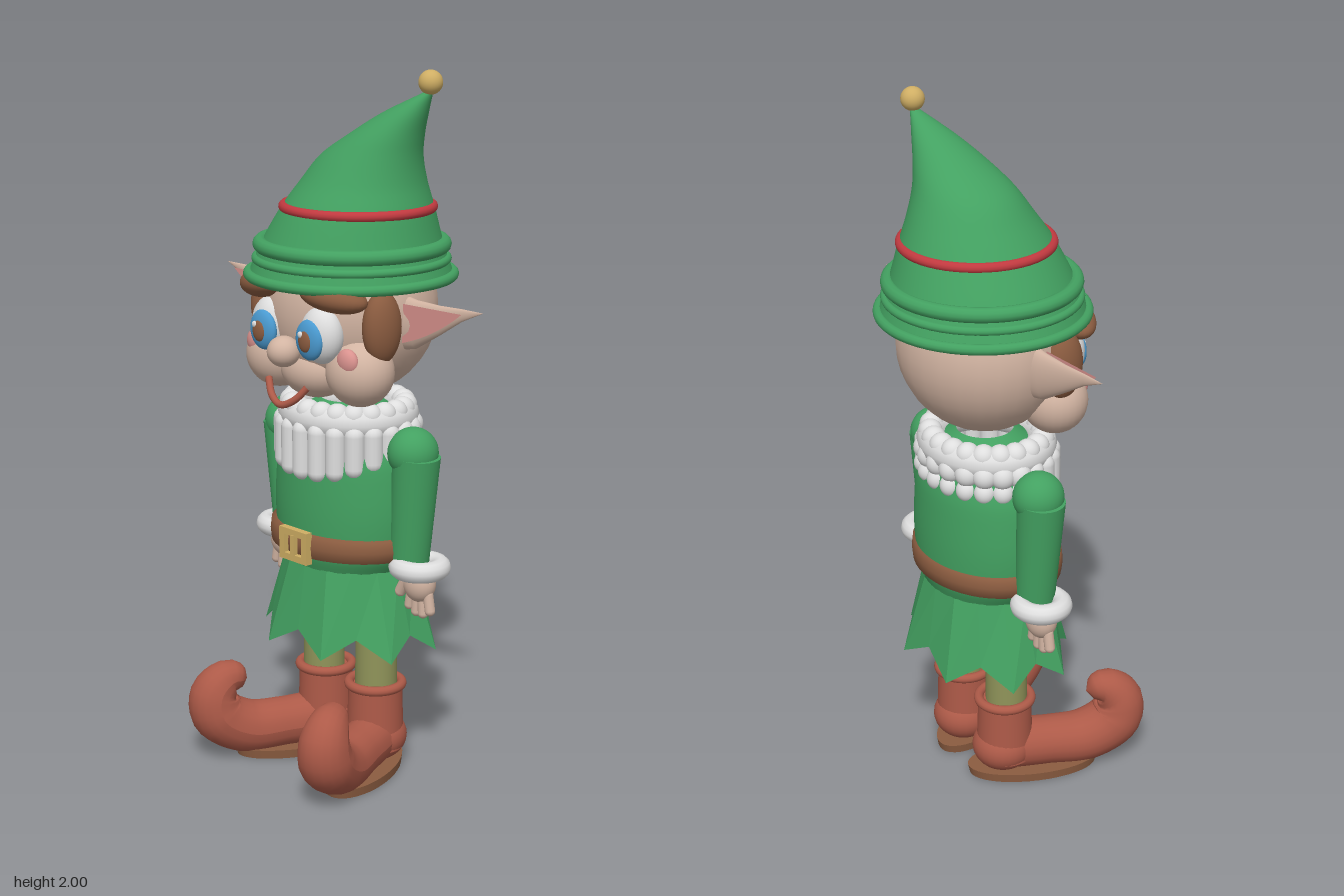
import * as THREE from 'three';

const mat = (name, color, opts = {}) => {
  const m = new THREE.MeshStandardMaterial({ color, ...opts });
  m.name = name;
  return m;
};

export function createModel() {
  const both = { side: THREE.DoubleSide };
  const green = mat('green cloth', 0x43a161, both), skin = mat('skin', 0xd2b4a2);
  const rust = mat('rust leather', 0xad5a48), brown = mat('brown', 0x8b5c40);
  const red = mat('red band', 0xc23a40), gold = mat('gold', 0xcfae64);
  const olive = mat('olive stocking', 0x90945a), white = mat('white', 0xdedede);
  const blue = mat('blue iris', 0x4a9ad0), pink = mat('pink', 0xd9928e, both);

  const root = new THREE.Group();
  root.name = 'elf';
  const add = (name, geo, material, pos = [0, 0, 0], parent = root) => {
    const m = new THREE.Mesh(geo, material);
    m.name = name;
    m.position.set(...pos);
    parent.add(m);
    return m;
  };
  const ball = (name, material, pos, r, parent = root) => {
    const m = add(name, new THREE.SphereGeometry(1, 28, 20), material, pos, parent);
    m.scale.set(...r);
    return m;
  };
  const ring = (name, material, pos, R, tube, sz = 1, parent = root) => {
    const g = new THREE.TorusGeometry(R, tube, 12, 56).rotateX(Math.PI / 2).scale(1, 1, sz);
    return add(name, g, material, pos, parent);
  };
  // Skin over horizontal elliptical rings [x, y, z, rx, rz], listed bottom to top
  const loft = (rings, seg = 48) => {
    const pos = [], idx = [];
    rings.forEach(([x, y, z, rx, rz]) => {
      for (let j = 0; j < seg; j++) {
        const a = (j / seg) * Math.PI * 2;
        pos.push(x + Math.sin(a) * rx, y, z + Math.cos(a) * rz);
      }
    });
    for (let i = 0; i < rings.length - 1; i++)
      for (let j = 0; j < seg; j++) {
        const k = (j + 1) % seg, a = i * seg + j, b = i * seg + k;
        idx.push(a, b, b + seg, a, b + seg, a + seg);
      }
    const g = new THREE.BufferGeometry();
    g.setAttribute('position', new THREE.Float32BufferAttribute(pos, 3));
    g.setIndex(idx);
    g.computeVertexNormals();
    return g;
  };
  // Smooth curve through a few [x, y, z, rx, rz] stations
  const smoothRings = (st, n) => {
    const c = new THREE.CatmullRomCurve3(st.map(s => new THREE.Vector3(s[0], s[1], s[2])));
    const r = new THREE.CatmullRomCurve3(st.map(s => new THREE.Vector3(s[3], s[4], 0)));
    return Array.from({ length: n + 1 }, (_, i) => {
      const p = c.getPoint(i / n), q = r.getPoint(i / n);
      return [p.x, p.y, p.z, Math.max(q.x, 0), Math.max(q.y, 0)];
    });
  };
  // Tube whose radius follows a list of radii
  const taperTube = (pts, radii, n = 40, seg = 20) => {
    const curve = new THREE.CatmullRomCurve3(pts.map(p => new THREE.Vector3(...p)));
    const g = new THREE.TubeGeometry(curve, n, 1, seg);
    const p = g.attributes.position, v = new THREE.Vector3();
    for (let i = 0; i < p.count; i++) {
      const u = Math.floor(i / (seg + 1)) / n, t = curve.getUtoTmapping(u) * (radii.length - 1);
      const k = Math.min(Math.floor(t), radii.length - 2);
      const r = THREE.MathUtils.lerp(radii[k], radii[k + 1], t - k), c = curve.getPointAt(u);
      v.fromBufferAttribute(p, i).sub(c).multiplyScalar(r).add(c);
      p.setXYZ(i, v.x, v.y, v.z);
    }
    g.computeVertexNormals();
    return g;
  };

  // Hat leaning to its tip
  add('hat', loft(smoothRings([
    [0, 1.43, -0.05, 0.285, 0.285], [0.004, 1.51, -0.05, 0.255, 0.255],
    [0.025, 1.62, -0.053, 0.21, 0.21], [0.04, 1.69, -0.06, 0.176, 0.172],
    [0.065, 1.76, -0.066, 0.146, 0.135], [0.112, 1.82, -0.076, 0.106, 0.1],
    [0.168, 1.88, -0.09, 0.066, 0.06], [0.245, 1.945, -0.108, 0.008, 0.008]], 36)), green);
  ring('hatBrim', green, [0, 1.432, -0.05], 0.284, 0.015);
  ring('hatRoll', green, [0.004, 1.515, -0.05], 0.254, 0.021);
  ring('hatFold', green, [0.002, 1.475, -0.05], 0.265, 0.012);
  ring('hatBand', red, [0.025, 1.62, -0.053], 0.205, 0.014);
  ball('hatBall', gold, [0.245, 1.967, -0.108], [0.033, 0.033, 0.033]);

  // Head and face
  ball('head', skin, [0, 1.34, -0.05], [0.25, 0.25, 0.237]);
  ball('chin', skin, [0, 1.18, 0.08], [0.11, 0.08, 0.09]);
  ball('nose', skin, [0, 1.245, 0.2], [0.046, 0.043, 0.046]);
  const smile = [-0.08, -0.045, 0, 0.045, 0.08].map(x =>
    new THREE.Vector3(x, 1.098 + 9 * x * x, 0.213 - 4.4 * x * x));
  add('mouth', new THREE.TubeGeometry(new THREE.CatmullRomCurve3(smile), 24, 0.01, 10), rust);

  // Torso, belt and buckle
  add('tunic', loft(smoothRings([
    [0, 0.6, -0.045, 0.19, 0.165], [0, 0.66, -0.045, 0.225, 0.183], [0, 0.78, -0.045, 0.235, 0.187],
    [0, 0.92, -0.045, 0.225, 0.182], [0, 1.02, -0.045, 0.18, 0.155], [0, 1.08, -0.045, 0.08, 0.08]], 24)), green);
  add('belt', loft([[0, 0.65, -0.04, 0.22, 0.18], [0, 0.655, -0.04, 0.242, 0.197],
    [0, 0.685, -0.04, 0.246, 0.2], [0, 0.715, -0.04, 0.242, 0.197], [0, 0.72, -0.04, 0.22, 0.18]]), brown);
  const frame = new THREE.Shape([[-0.056, -0.046], [0.056, -0.046], [0.056, 0.046], [-0.056, 0.046]]
    .map(p => new THREE.Vector2(...p)));
  frame.holes.push(new THREE.Path([[-0.035, -0.027], [-0.035, 0.027], [0.035, 0.027], [0.035, -0.027]]
    .map(p => new THREE.Vector2(...p))));
  add('buckle', new THREE.ExtrudeGeometry(frame, { depth: 0.022, bevelEnabled: false }), gold, [0, 0.685, 0.15]);
  add('bucklePin', new THREE.BoxGeometry(0.014, 0.06, 0.016), gold, [0, 0.685, 0.167]);

  // Skirt of eight pointed, folded panels
  const P = 8, sp = [], corner = (i, top) => {
    const a = (i * Math.PI) / P, tip = i % 2 === 1;
    const rx = top ? 0.2 : tip ? 0.288 : 0.25, rz = top ? 0.172 : tip ? 0.23 : 0.197;
    return [Math.sin(a) * rx, top ? 0.615 : tip ? 0.372 : 0.432, -0.045 + Math.cos(a) * rz];
  };
  for (let i = 0; i < P * 2; i++) {
    const a = corner(i), b = corner(i + 1), c = corner(i + 1, true), d = corner(i, true);
    sp.push(...a, ...b, ...c, ...a, ...c, ...d);
  }
  const skirt = new THREE.BufferGeometry();
  skirt.setAttribute('position', new THREE.Float32BufferAttribute(sp, 3));
  skirt.computeVertexNormals();
  add('skirt', skirt, green);

  // Ruff: rows of puffs, drawn out into long curls at the front
  const ruff = new THREE.Group();
  ruff.name = 'ruff';
  root.add(ruff);
  ring('ruffBase', white, [0, 1.04, -0.04], 0.165, 0.045, 0.9, ruff);
  for (let i = 0; i < 22; i++) {
    const a = (i / 22) * Math.PI * 2, s = Math.sin(a), c = Math.cos(a);
    const at = (y, rx, rz) => [s * rx, y, -0.04 + c * rz];
    ball('ruffPuff', white, at(1.062, 0.17, 0.15), [0.034, 0.034, 0.034], ruff);
    if (c < 0.1) {
      ball('ruffPuff', white, at(1.01, 0.192, 0.162), [0.034, 0.036, 0.034], ruff);
      ball('ruffPuff', white, at(0.962, 0.195, 0.165), [0.03, 0.032, 0.03], ruff);
    } else {
      const low = 0.93 - 0.06 * c, len = 1.04 - low;
      add('ruffCurl', new THREE.CapsuleGeometry(0.029, len - 0.058, 6, 14), white,
        at(low + len / 2, 0.193, 0.172), ruff);
    }
  }

  // Parts that come in pairs
  for (const s of [1, -1]) {
    const side = new THREE.Group();
    side.name = s > 0 ? 'leftParts' : 'rightParts';
    root.add(side);

    ball('jowl', skin, [s * 0.165, 1.195, 0.07], [0.097, 0.095, 0.092], side);
    ball('blush', pink, [s * 0.185, 1.235, 0.135], [0.037, 0.037, 0.022], side);
    ball('eyeWhite', white, [s * 0.1, 1.3, 0.15], [0.067, 0.08, 0.052], side);
    ball('iris', blue, [s * 0.094, 1.29, 0.19], [0.05, 0.056, 0.022], side);
    ball('pupil', brown, [s * 0.094, 1.288, 0.206], [0.025, 0.03, 0.011], side);
    ball('eyeGlint', white, [s * 0.094 - 0.012, 1.306, 0.213], [0.009, 0.009, 0.005], side);
    ball('sideburn', brown, [s * 0.228, 1.325, 0.05], [0.045, 0.1, 0.06], side);
    ball('fringe', brown, [s * 0.145, 1.408, 0.15], [0.1, 0.04, 0.055], side).rotation.set(0, s * 0.35, s * -0.12);

    // Pointed ear with a pink inner plate
    const ear = loft([[-1.325, 0.2, -0.04, 0.08, 0.034], [-1.327, 0.27, -0.04, 0.067, 0.026],
      [-1.352, 0.36, -0.039, 0.04, 0.014], [-1.378, 0.44, -0.038, 0.017, 0.007],
      [-1.395, 0.517, -0.037, 0, 0]], 28).rotateZ(-Math.PI / 2);
    const earMesh = add('ear', ear, skin, [0, 0, 0], side);
    if (s < 0) earMesh.rotation.z = Math.PI, earMesh.position.y = 0;
    if (s < 0) {
      earMesh.rotation.z = 0;
      earMesh.scale.x = -1;
    }
    const inner = new THREE.Shape();
    inner.moveTo(s * 0.24, 1.275);
    inner.quadraticCurveTo(s * 0.36, 1.31, s * 0.46, 1.386);
    inner.lineTo(s * 0.24, 1.383);
    add('earInner', new THREE.ShapeGeometry(inner), pink, [0, 0, -0.014], side);

    // Arm, cuff and hand
    ball('shoulder', green, [s * 0.255, 0.965, -0.045], [0.07, 0.072, 0.072], side);
    const arm = add('sleeve', new THREE.CylinderGeometry(0.067, 0.055, 0.32, 28), green, [s * 0.256, 0.8, -0.045], side);
    arm.rotation.z = s * -0.08;
    ring('cuff', white, [s * 0.28, 0.642, -0.05], 0.058, 0.029, 1, side);
    ball('palm', skin, [s * 0.28, 0.595, -0.05], [0.05, 0.055, 0.042], side);
    for (let f = 0; f < 4; f++) {
      const finger = add('finger', new THREE.CapsuleGeometry(0.015, 0.045, 6, 12), skin,
        [s * (0.246 + f * 0.024), 0.54 + (f % 3 ? -0.008 : 0.005), -0.05], side);
      finger.rotation.z = s * (f - 1.5) * 0.12;
    }
    const thumb = add('thumb', new THREE.CapsuleGeometry(0.016, 0.04, 6, 12), skin, [s * 0.235, 0.58, -0.03], side);
    thumb.rotation.z = s * -0.5;

    // Stocking and curled boot, toes turned out
    add('leg', new THREE.CylinderGeometry(0.06, 0.06, 0.4, 28), olive, [s * 0.11, 0.42, -0.048], side);
    const boot = new THREE.Group();
    boot.name = 'boot';
    boot.position.set(s * 0.105, 0, -0.05);
    boot.rotation.y = s * 0.393;
    side.add(boot);
    add('bootShaft', new THREE.CylinderGeometry(0.077, 0.083, 0.19, 32), rust, [0, 0.155, 0], boot);
    ring('bootCuff', rust, [0, 0.25, 0], 0.076, 0.014, 1, boot);
    ball('bootHeel', rust, [0, 0.09, -0.005], [0.09, 0.075, 0.09], boot);
    add('bootToe', taperTube([[0, 0.09, -0.06], [0, 0.09, 0], [0, 0.085, 0.13], [0, 0.088, 0.25], [0, 0.14, 0.335],
      [0, 0.205, 0.342], [0, 0.245, 0.3], [0, 0.24, 0.262], [0, 0.235, 0.245]],
      [0, 0.075, 0.072, 0.077, 0.079, 0.07, 0.053, 0.035, 0]), rust, [0, 0, 0], boot);
    const sole = add('sole', new THREE.CylinderGeometry(1, 0.97, 0.026, 40), brown, [0, 0.015, 0.085], boot);
    sole.scale.set(0.09, 1, 0.195);
  }
  return root;
}
